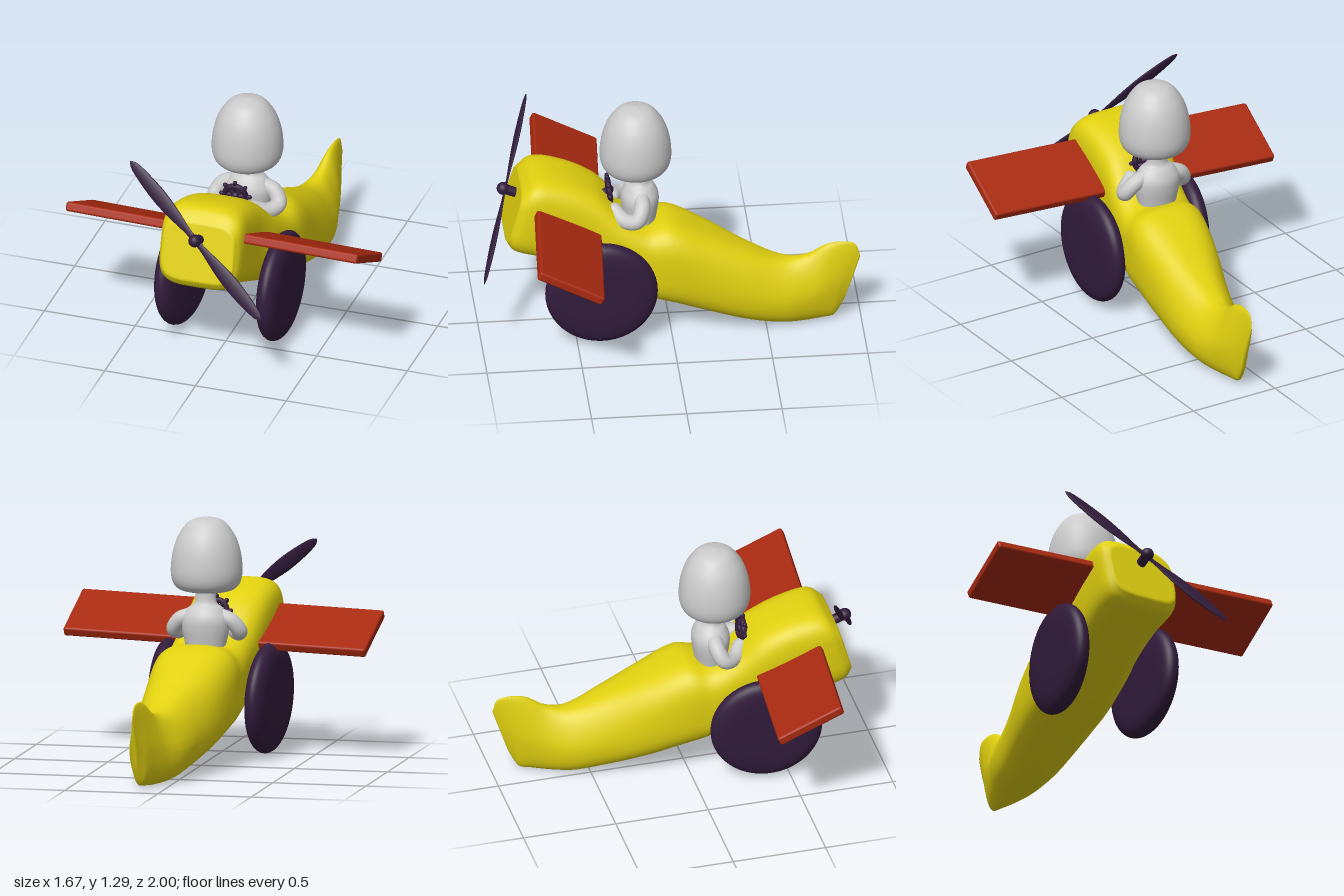
import * as THREE from 'three';
import { RoundedBoxGeometry } from 'three/addons/geometries/RoundedBoxGeometry.js';

const V = (x, y, z) => new THREE.Vector3(x, y, z);
const paint = (color) => new THREE.MeshStandardMaterial({ color });
const yellow = paint(0xe0d010), red = paint(0xa82a10), purple = paint(0x321c3c), grey = paint(0xcccccc);

function add(parent, name, geometry, material, position = V(0, 0, 0)) {
  const mesh = new THREE.Mesh(geometry, material);
  mesh.name = name;
  mesh.position.copy(position);
  parent.add(mesh);
  return mesh;
}

// Turn an object so its local x and z follow the given directions
function orient(object, xDir, zDir) {
  const x = xDir.clone().normalize();
  const y = zDir.clone().cross(x).normalize();
  const z = x.clone().cross(y);
  object.quaternion.setFromRotationMatrix(new THREE.Matrix4().makeBasis(x, y, z));
  return object;
}

// Lathe with a smooth profile through a few [radius, height] points
function turned(points, segments = 40) {
  const curve = new THREE.SplineCurve(points.map(([r, y]) => new THREE.Vector2(r, y)));
  const profile = curve.getPoints(points.length * 5);
  profile.forEach((p) => { p.x = Math.max(p.x, 0); });
  return new THREE.LatheGeometry(profile, segments);
}

// Fuselage: slanted rounded sections, nose to tail
function fuselageGeometry() {
  // top z, top y, bottom z, bottom y, centre x, half width
  const stations = [
    [0.775, 0.845, 0.86, 0.54, -0.05, 0.195],
    [0.70, 0.90, 0.825, 0.49, -0.05, 0.22],
    [0.55, 0.882, 0.65, 0.43, -0.045, 0.22],
    [0.38, 0.805, 0.48, 0.355, -0.03, 0.215],
    [0.25, 0.69, 0.3, 0.275, 0, 0.215],
    [0.12, 0.62, 0.1, 0.19, 0.02, 0.22],
    [0, 0.635, -0.05, 0.145, 0.035, 0.225],
    [-0.2, 0.55, -0.22, 0.09, 0.055, 0.21],
    [-0.4, 0.45, -0.42, 0.035, 0.085, 0.18],
    [-0.6, 0.37, -0.6, 0.005, 0.1, 0.145],
    [-0.72, 0.39, -0.72, 0.003, 0.115, 0.1],
    [-0.82, 0.45, -0.8, 0.012, 0.125, 0.07],
    [-0.91, 0.465, -0.85, 0.02, 0.13, 0.045],
    [-0.97, 0.45, -0.875, 0.05, 0.135, 0.025],
    [-0.995, 0.38, -0.91, 0.12, 0.14, 0.01],
  ];
  const tops = new THREE.CatmullRomCurve3(stations.map((s) => V(s[0], s[1], s[4])));
  const bottoms = new THREE.CatmullRomCurve3(stations.map((s) => V(s[2], s[3], s[5])));
  const sides = 48, steps = 84;
  // [curve parameter, section scale]: closed nose, body, closed tail
  const rings = [[0, 0], [0, 0.4], [0, 0.75], [0, 0.93]];
  for (let i = 0; i <= steps; i++) rings.push([i / steps, 1]);
  rings.push([1, 0]);

  const positions = [], index = [];
  rings.forEach(([t, scale], r) => {
    const top = tops.getPoint(t), bottom = bottoms.getPoint(t);
    const power = 2 / THREE.MathUtils.lerp(4.2, 2.3, Math.min(t * 1.3, 1));
    const taper = 0.45 * THREE.MathUtils.smoothstep(t, 0.4, 0.75);
    for (let j = 0; j < sides; j++) {
      const a = (j / sides) * Math.PI * 2;
      const u = Math.sign(Math.cos(a)) * Math.abs(Math.cos(a)) ** power * scale;
      const v = Math.sign(Math.sin(a)) * Math.abs(Math.sin(a)) ** power * scale;
      const k = (v + 1) / 2;
      positions.push(
        top.z + u * bottom.z * (1 - taper * Math.max(v, 0)),
        THREE.MathUtils.lerp(bottom.y, top.y, k),
        THREE.MathUtils.lerp(bottom.x, top.x, k));
      if (r === rings.length - 1) continue;
      const n = (j + 1) % sides;
      const p = r * sides + j, q = r * sides + n;
      index.push(p, p + sides, q, q, p + sides, q + sides);
    }
  });
  const geometry = new THREE.BufferGeometry();
  geometry.setAttribute('position', new THREE.Float32BufferAttribute(positions, 3));
  geometry.setIndex(index);
  geometry.computeVertexNormals();
  return geometry;
}

export function createModel() {
  const model = new THREE.Group();
  model.name = 'toyPlaneWithPilot';
  const across = V(1, 0.025, 0.072), forward = V(-0.08, 0.44, 0.9);

  add(model, 'fuselage', fuselageGeometry(), yellow);

  // Wing: one slab through the nose
  orient(add(model, 'wing', new RoundedBoxGeometry(1.65, 0.05, 0.375, 3, 0.012), red,
    V(0, 0.675, 0.53)), across, forward);

  // Wheels: pillow-shaped discs, each toed a little differently
  const tyre = turned([[0, -0.06], [0.12, -0.06], [0.22, -0.054], [0.275, -0.035], [0.295, 0],
    [0.275, 0.035], [0.22, 0.054], [0.12, 0.06], [0, 0.06]], 48).rotateZ(Math.PI / 2);
  add(model, 'leftWheel', tyre, purple, V(0.262, 0.315, 0.375)).rotation.y = -0.03;
  add(model, 'rightWheel', tyre, purple, V(-0.278, 0.315, 0.375)).rotation.set(0, -0.12, 0.04);

  // Propeller: two flattened blades on a small hub
  const propeller = orient(new THREE.Group(), V(0.82, -0.65, 0.3), V(-0.08, 0.4, 0.9));
  propeller.name = 'propeller';
  propeller.position.set(-0.05, 0.785, 0.85);
  model.add(propeller);
  const blade = turned([[0, 0], [0.016, 0.01], [0.018, 0.07], [0.034, 0.19], [0.041, 0.3],
    [0.035, 0.42], [0.022, 0.51], [0, 0.545]], 24).scale(1, 1, 0.28);
  for (const side of [-1, 1])
    add(propeller, 'blade', blade, purple).rotation.z = side * Math.PI / 2;
  const hub = new THREE.CylinderGeometry(0.026, 0.026, 0.09, 24).rotateX(Math.PI / 2);
  add(propeller, 'hub', hub, purple, V(0, 0, -0.015));
  add(propeller, 'hubCap', new THREE.SphereGeometry(0.034, 24, 16), purple, V(0, 0, 0.012));

  // Steering wheel: rim, spokes and knobs
  const steering = new THREE.Group();
  steering.name = 'steeringWheel';
  steering.position.set(-0.01, 0.775, 0.31);
  steering.rotation.x = 0.12;
  model.add(steering);
  add(steering, 'rim', new THREE.TorusGeometry(0.056, 0.015, 12, 36), purple);
  add(steering, 'centre', new THREE.SphereGeometry(0.025, 16, 12), purple);
  for (let i = 0; i < 8; i++) {
    const a = (i / 8) * Math.PI * 2;
    const spoke = add(steering, 'spoke', new THREE.CapsuleGeometry(0.012, 0.065, 4, 10), purple,
      V(-Math.sin(a) * 0.045, Math.cos(a) * 0.045, 0));
    spoke.rotation.z = a;
  }
  const column = new THREE.CylinderGeometry(0.018, 0.018, 0.12, 16).rotateX(Math.PI / 2);
  add(steering, 'column', column, purple, V(0, -0.01, 0.06));

  // Pilot: head, torso with neck, and bent arms
  const pilot = new THREE.Group();
  pilot.name = 'pilot';
  pilot.position.set(0.01, 0, 0.15);
  model.add(pilot);
  const head = turned([[0, 0.895], [0.11, 0.9], [0.163, 0.925], [0.186, 0.98], [0.185, 1.06],
    [0.169, 1.14], [0.138, 1.21], [0.085, 1.27], [0, 1.292]], 48);
  add(pilot, 'head', head, grey, V(0, 0, 0.022));
  const torso = turned([[0, 0.5], [0.1, 0.5], [0.105, 0.6], [0.125, 0.7], [0.125, 0.76],
    [0.095, 0.81], [0.058, 0.845], [0.054, 0.93]], 36).scale(1, 1, 0.78);
  add(pilot, 'torso', torso, grey);
  for (const side of [-1, 1]) {
    const path = new THREE.CatmullRomCurve3([V(side * 0.07, 0.775, 0), V(side * 0.14, 0.745, 0.0),
      V(side * 0.175, 0.69, 0.03), V(side * 0.14, 0.675, 0.09), V(side * 0.075, 0.7, 0.14)]);
    add(pilot, side > 0 ? 'leftArm' : 'rightArm', new THREE.TubeGeometry(path, 32, 0.042, 16), grey);
    add(pilot, side > 0 ? 'leftHand' : 'rightHand', new THREE.SphereGeometry(0.043, 20, 14), grey,
      V(side * 0.075, 0.7, 0.14));
  }
  return model;
}
